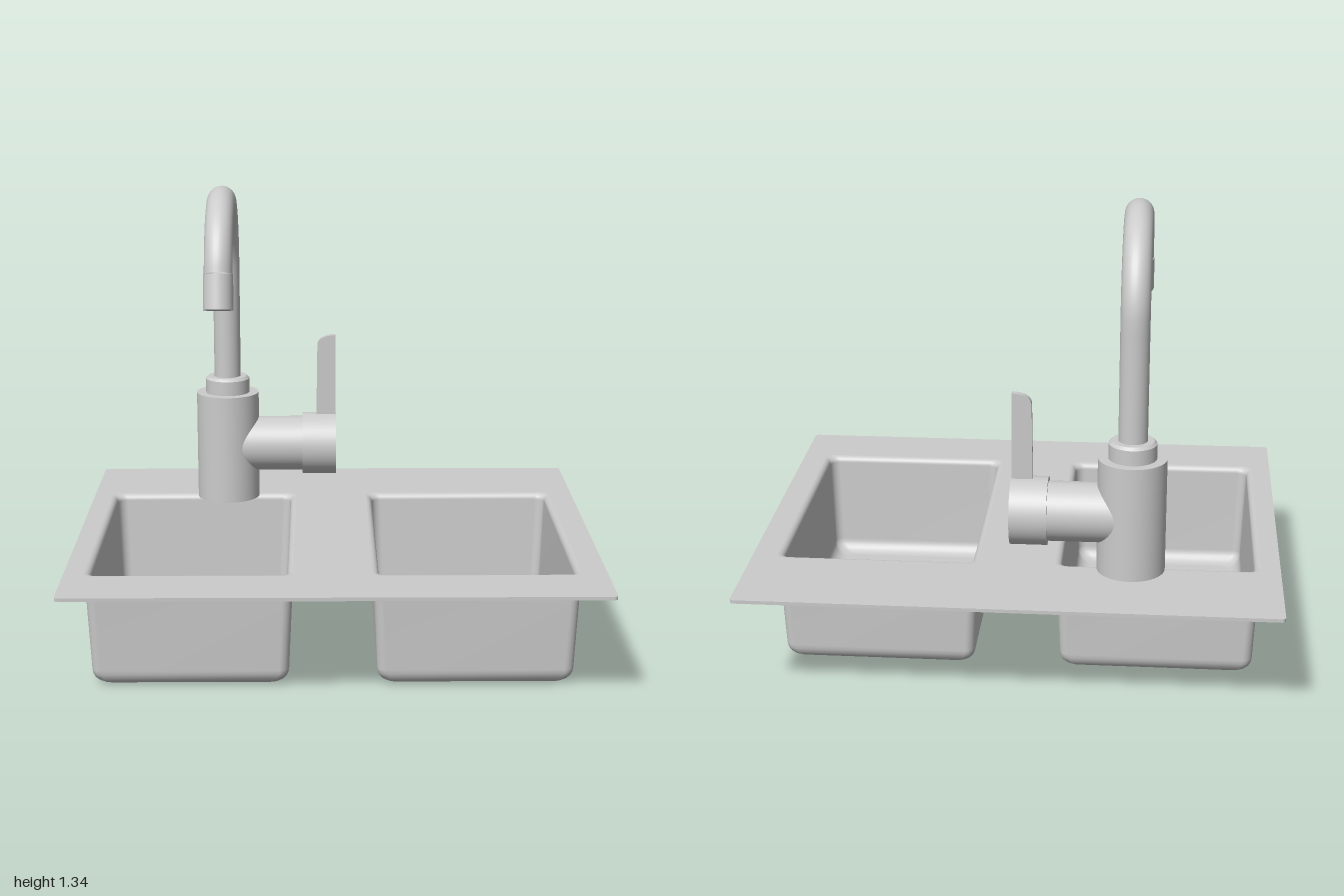
import * as THREE from 'three';

const steel = new THREE.MeshStandardMaterial({ color: 0xcccccc, roughness: 0.5, side: THREE.DoubleSide });
const TOP = 0.335;

function add(parent, name, geometry) {
  const mesh = new THREE.Mesh(geometry, steel);
  mesh.name = name;
  parent.add(mesh);
  return mesh;
}

// Rounded rectangle outline, counter-clockwise, centred on (cx, cy)
function outline(cx, cy, hw, hh, r, seg = 6) {
  const pts = [];
  [[1, 1], [-1, 1], [-1, -1], [1, -1]].forEach(([sx, sy], q) => {
    for (let i = 0; i <= seg; i++) {
      const a = (q + i / seg) * Math.PI / 2;
      pts.push(new THREE.Vector2(cx + sx * (hw - r) + r * Math.cos(a), cy + sy * (hh - r) + r * Math.sin(a)));
    }
  });
  return pts;
}

// Flat sheet with holes, its upper face at height y
function sheet(points, holes, depth, y) {
  const shape = new THREE.Shape(points);
  holes.forEach(h => shape.holes.push(new THREE.Path(h)));
  const g = new THREE.ExtrudeGeometry(shape, { depth, bevelEnabled: false });
  return g.rotateX(Math.PI / 2).translate(0, y, 0);
}

// Skin through rounded rectangles given as [inset, y] rows
function loft(b, rows) {
  const pos = [], idx = [];
  let n = 0;
  rows.forEach(([inset, y]) => {
    const pts = outline(b.x, b.z, b.hw - inset, b.hd - inset, 0.028);
    n = pts.length;
    pts.forEach(p => pos.push(p.x, y, p.y));
  });
  for (let r = 0; r < rows.length - 1; r++) {
    for (let i = 0; i < n; i++) {
      const a = r * n + i, c = r * n + (i + 1) % n;
      idx.push(a, a + n, c, c, a + n, c + n);
    }
  }
  const g = new THREE.BufferGeometry();
  g.setAttribute('position', new THREE.Float32BufferAttribute(pos, 3));
  g.setIndex(idx);
  g.computeVertexNormals();
  return g;
}

// Quarter-circle rows between two angles (degrees)
function arcRows(ci, cy, r, from, to, seg = 6) {
  return Array.from({ length: seg + 1 }, (_, i) => {
    const a = THREE.MathUtils.degToRad(from + (to - from) * i / seg);
    return [ci + r * Math.cos(a), cy + r * Math.sin(a)];
  });
}

// Turned part with crisp steps: each band has its own normals
function cylinder(r, y0, y1, r2 = r) {
  return new THREE.CylinderGeometry(r2, r, y1 - y0, 48).translate(0, (y0 + y1) / 2, 0);
}

export function createModel() {
  const model = new THREE.Group();
  model.name = 'kitchenSink';
  model.rotation.y = -0.757;

  // Two bowls with a drain hole in each
  const bowls = [
    { name: 'leftBowl', x: -0.409, z: 0.055, hw: 0.292, hd: 0.415, drainX: -0.35 },
    { name: 'rightBowl', x: 0.395, z: 0.055, hw: 0.292, hd: 0.415, drainX: 0.327 },
  ];

  // Countertop plate
  add(model, 'rimPlate', sheet(outline(0, 0, 0.757, 0.655, 0.012),
    bowls.map(b => outline(b.x, b.z, b.hw, b.hd, 0.028)), 0.01, TOP));

  bowls.forEach(b => {
    const bowl = new THREE.Group();
    bowl.name = b.name;
    model.add(bowl);
    // Outer skin, floor edge up to the plate
    add(bowl, 'outerWall', loft(b, [...arcRows(0.064, 0.05, 0.05, 270, 180), [0.003, 0.29], [0, TOP - 0.008]]));
    // Inner skin, rolled rim down to the floor
    add(bowl, 'innerWall', loft(b, [...arcRows(0, TOP - 0.018, 0.018, 90, 0),
      ...arcRows(0.068, 0.052, 0.04, 180, 270)]));
    // Floor
    const drain = new THREE.Path().absarc(b.drainX, -0.14, 0.063, 0, Math.PI * 2).getPoints(24).slice(0, -1);
    add(bowl, 'floor', sheet(outline(b.x, b.z, b.hw - 0.064, b.hd - 0.064, 0.028), [drain], 0.012, 0.012));
  });

  // Tap
  const tap = new THREE.Group();
  tap.name = 'tap';
  tap.position.set(-0.332, 0, -0.352);
  model.add(tap);
  add(tap, 'body', cylinder(0.097, TOP - 0.002, 0.67));
  add(tap, 'collar', cylinder(0.068, 0.67, 0.714));
  add(tap, 'collarBevel', cylinder(0.068, 0.714, 0.722, 0.06));

  // Swan-neck spout: straight riser, arc and short straight end
  const R = 0.24, cy = 1.063, end = THREE.MathUtils.degToRad(14);
  const tip = new THREE.Vector3(0, cy + R * Math.sin(end), R + R * Math.cos(end));
  const dir = new THREE.Vector3(0, -Math.cos(end), Math.sin(end));
  const path = [];
  for (let i = 0; i < 6; i++) path.push(new THREE.Vector3(0, 0.7 + (cy - 0.7) * i / 6, 0));
  for (let i = 0; i <= 24; i++) {
    const a = Math.PI - (Math.PI - end) * i / 24;
    path.push(new THREE.Vector3(0, cy + R * Math.sin(a), R + R * Math.cos(a)));
  }
  add(tap, 'spout', new THREE.TubeGeometry(new THREE.CatmullRomCurve3(path), 90, 0.041, 28));
  const nozzle = add(tap, 'nozzle', cylinder(0.043, 0, 0.102));
  nozzle.position.copy(tip);
  nozzle.quaternion.setFromUnitVectors(new THREE.Vector3(0, 1, 0), dir);

  // Side valve and knob
  const valve = new THREE.Group();
  valve.name = 'valve';
  valve.position.y = 0.503;
  valve.rotation.z = -Math.PI / 2;
  tap.add(valve);
  add(valve, 'valveNeck', cylinder(0.085, 0, 0.24));
  add(valve, 'valveKnob', cylinder(0.097, 0.235, 0.34));

  // Lever blade with one rounded top corner
  const blade = new THREE.Shape();
  blade.moveTo(0.278, 0.56);
  blade.lineTo(0.338, 0.56);
  blade.lineTo(0.338, 0.852);
  blade.quadraticCurveTo(0.285, 0.85, 0.282, 0.82);
  blade.closePath();
  add(tap, 'lever', new THREE.ExtrudeGeometry(blade, { depth: 0.02, bevelEnabled: false }).translate(0, 0, -0.008));

  return model;
}
